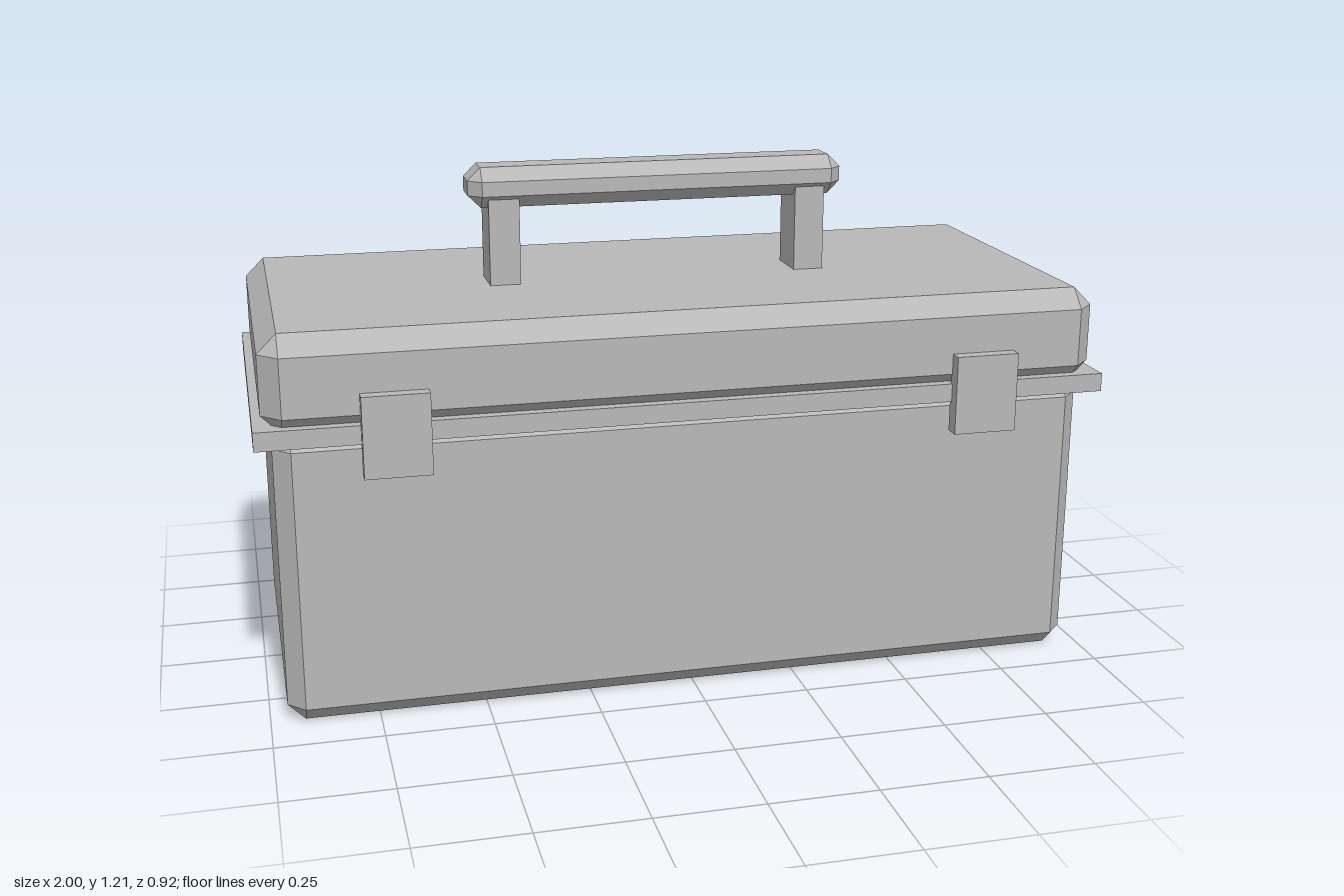
import * as THREE from 'three';
import { ConvexGeometry } from 'three/addons/geometries/ConvexGeometry.js';

// Box with every edge chamfered by c: each face is the full side, inset by c
function chamferBox(w, h, d, c) {
  const points = [];
  for (const sx of [-1, 1]) for (const sy of [-1, 1]) for (const sz of [-1, 1]) {
    for (let axis = 0; axis < 3; axis++) {
      const inset = [c, c, c];
      inset[axis] = 0;
      points.push(new THREE.Vector3(
        sx * (w / 2 - inset[0]), sy * (h / 2 - inset[1]), sz * (d / 2 - inset[2])));
    }
  }
  return new ConvexGeometry(points);
}

export function createModel() {
  const group = new THREE.Group();
  group.name = 'toolbox';
  const grey = new THREE.MeshStandardMaterial({ color: 0xb8b8b8 });
  grey.name = 'grey';

  // Adds a box spanning the given ranges, chamfered if c > 0
  function addBox(name, [x0, x1], [y0, y1], [z0, z1], c = 0) {
    const size = [x1 - x0, y1 - y0, z1 - z0];
    const geometry = c ? chamferBox(...size, c) : new THREE.BoxGeometry(...size);
    const mesh = new THREE.Mesh(geometry, grey);
    mesh.name = name;
    mesh.position.set((x0 + x1) / 2, (y0 + y1) / 2, (z0 + z1) / 2);
    group.add(mesh);
  }

  // Case, rim and lid
  addBox('body', [-0.96, 0.96], [0, 0.697], [-0.435, 0.41], 0.04);
  addBox('rim', [-1, 1], [0.673, 0.717], [-0.459, 0.433]);
  addBox('lid', [-0.981, 0.981], [0.695, 0.923], [-0.453, 0.43], 0.045);

  // Carrying handle
  addBox('handleGrip', [-0.463, 0.463], [1.108, 1.205], [-0.08, 0.054], 0.031);

  // Handle posts and front latches, mirrored
  for (const [side, s] of [['left', 1], ['right', -1]]) {
    const span = (a, b) => (s > 0 ? [a, b] : [-b, -a]);
    addBox(side + 'HandlePost', span(0.343, 0.417), [0.9, 1.13], [-0.07, 0.045]);
    addBox(side + 'Latch', span(0.615, 0.767), [0.6, 0.789], [0.423, 0.461]);
  }
  return group;
}
